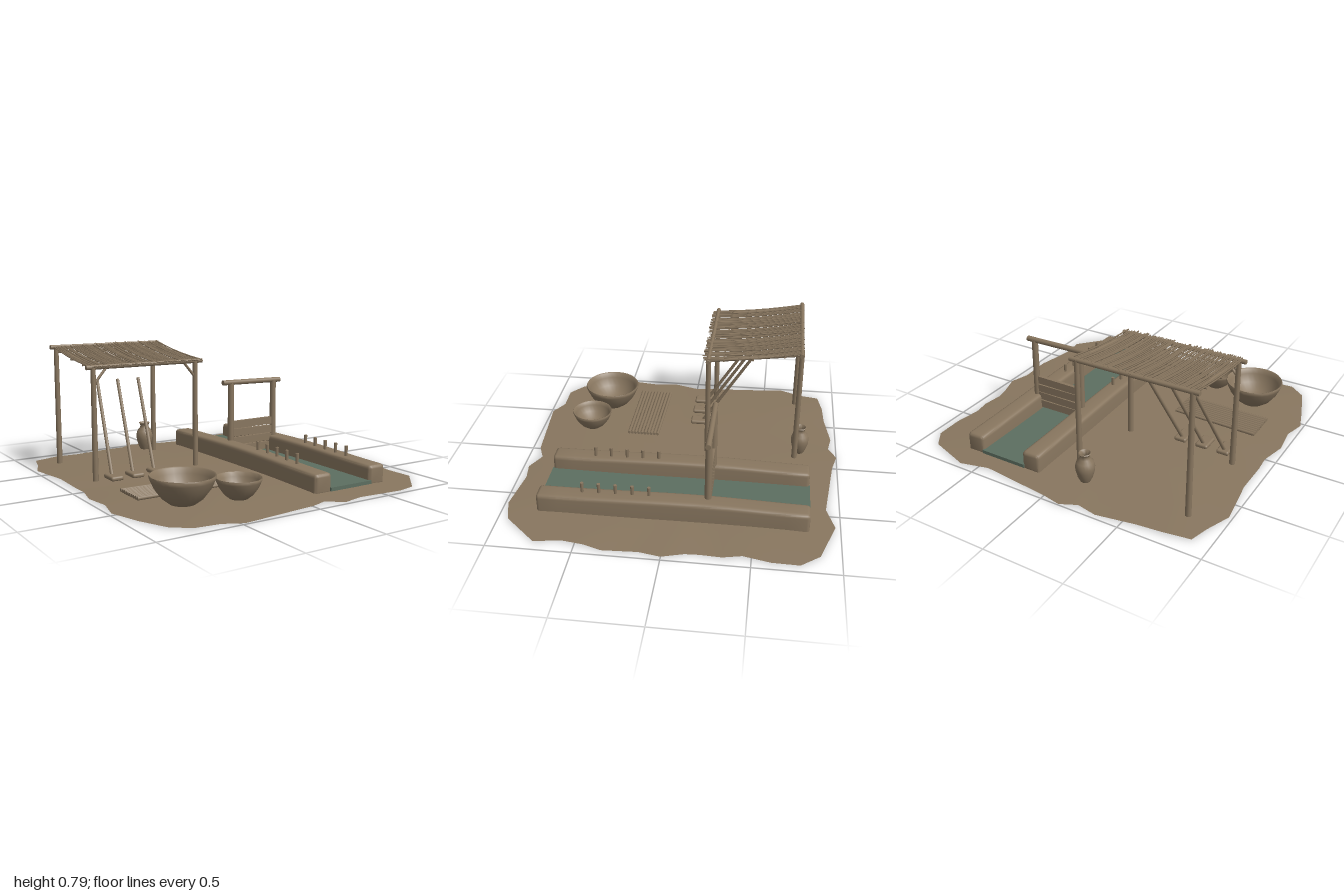
import * as THREE from 'three';
import { toCreasedNormals } from 'three/addons/utils/BufferGeometryUtils.js';
import { RoundedBoxGeometry } from 'three/addons/geometries/RoundedBoxGeometry.js';

const earth = new THREE.MeshStandardMaterial({ color: 0x88765f, side: THREE.DoubleSide });
earth.name = 'earth brown';
const waterGreen = new THREE.MeshStandardMaterial({ color: 0x5c6e60 });
waterGreen.name = 'water green';

const V = (x, y, z) => new THREE.Vector3(x, y, z);

let seed = 7;
const rand = () => (seed = (seed * 16807) % 2147483647) / 2147483647;

function add(parent, name, geometry, x = 0, y = 0, z = 0, material = earth) {
  const mesh = new THREE.Mesh(geometry, material);
  mesh.name = name;
  mesh.position.set(x, y, z);
  parent.add(mesh);
  return mesh;
}

// Round pole from a to b
function pole(parent, name, a, b, r, rEnd = r, sides = 10) {
  const mesh = add(parent, name, new THREE.CylinderGeometry(rEnd, r, a.distanceTo(b), sides));
  mesh.position.copy(a).lerp(b, 0.5);
  mesh.quaternion.setFromUnitVectors(V(0, 1, 0), b.clone().sub(a).normalize());
  return mesh;
}

function group(parent, name) {
  const g = new THREE.Group();
  g.name = name;
  parent.add(g);
  return g;
}

// Ragged, gently domed plot of soil: rings shrinking to a centre point
function makeGround(root) {
  const rim = [[-.89, -.89], [-.73, -.92], [-.58, -.93], [-.34, -.97], [-.22, -.95], [-.12, -1], [0, -.97],
    [.44, -.92], [.61, -.97], [.87, -.88], [.95, -.77], [.95, -.61], [.92, -.45], [.94, -.34], [.93, -.21],
    [.94, -.13], [.98, 0], [.95, .13], [.96, .34], [.93, .45], [.91, .58], [.93, .74], [.75, .94], [.61, .98],
    [.33, .95], [.21, .97], [.1, .91], [0, .95], [-.48, .99], [-.59, .93], [-.75, .93], [-.85, .85],
    [-.92, .66], [-.98, .47], [-.95, .33], [-.97, .16], [-.93, 0], [-.94, -.11], [-.94, -.33], [-.98, -.62],
    [-.92, -.77]];
  const n = rim.length, pos = [], index = [];
  const rings = [[1, 0.004], [0.78, 0.015], [0.4, 0.02], [0, 0.022]];
  rings.forEach(([s, y], r) => rim.forEach(([x, z], i) => {
    pos.push(x * s, r === 0 ? y + 0.004 * Math.sin(i * 1.7) : y, z * s);
    const j = (i + 1) % n, a = r * n;
    if (r < rings.length - 1) {
      index.push(a + i, a + n + i, a + j);
      if (r < rings.length - 2) index.push(a + j, a + n + i, a + n + j);
    }
  }));
  const geo = new THREE.BufferGeometry();
  geo.setAttribute('position', new THREE.Float32BufferAttribute(pos, 3));
  geo.setIndex(index);
  geo.computeVertexNormals();
  add(root, 'ground', geo);
}

// Earth bank with rounded section and a slightly uneven top
function bankGeometry() {
  const w = 0.06, h = 0.13, r = 0.025, s = new THREE.Shape();
  s.moveTo(-w, 0);
  s.lineTo(w, 0);
  s.lineTo(w, h - r);
  s.quadraticCurveTo(w, h, w - r, h);
  s.lineTo(-w + r, h);
  s.quadraticCurveTo(-w, h, -w, h - r);
  const geo = new THREE.ExtrudeGeometry(s, { depth: 1.57, steps: 14, curveSegments: 4,
    bevelThickness: 0.02, bevelSize: 0.02, bevelOffset: -0.02, bevelSegments: 3 });
  geo.translate(0, 0, -0.8);
  const p = geo.attributes.position;
  for (let i = 0; i < p.count; i++) {
    const z = p.getZ(i);
    p.setY(i, p.getY(i) * (1 + 0.06 * Math.cos(z * 3.6 + 0.2)));
    p.setX(i, p.getX(i) + 0.003 * Math.sin(z * 5));
  }
  return toCreasedNormals(geo, 0.7);
}

function makeCanal(root) {
  const canal = group(root, 'canal');
  add(canal, 'water', new THREE.BoxGeometry(0.31, 0.022, 1.62), 0.405, 0.024, -0.015, waterGreen);
  const bank = bankGeometry();
  for (const x of [0.2, 0.61]) add(canal, 'bank', bank, x, 0, 0);
  for (const x of [0.215, 0.6])
    for (let i = 0; i < 5; i++) {
      const z = 0.12 + i * 0.1;
      pole(canal, 'peg', V(x, 0.1, z), V(x, 0.19, z), 0.009, 0.011, 8);
    }

  // Sluice gate across the channel
  const gate = group(root, 'sluiceGate');
  for (const x of [0.235, 0.582]) pole(gate, 'gatePost', V(x, 0.01, -0.225), V(x, 0.52, -0.225), 0.021, 0.02, 12);
  pole(gate, 'gateBeam', V(0.172, 0.528, -0.225), V(0.635, 0.52, -0.225), 0.017, 0.017, 12);
  for (let i = 0; i < 4; i++) {
    const plank = add(gate, 'gatePlank', new THREE.BoxGeometry(0.345, 0.05, 0.022), 0.409, 0.072 + i * 0.056, -0.225);
    plank.rotation.z = (i % 2 ? 1 : -1) * 0.008;
  }
}

function makeShelter(root) {
  const shelter = group(root, 'shelter');
  const zF = -0.155, zB = -0.725;
  for (const x of [-0.785, -0.085]) {
    pole(shelter, 'frontPost', V(x, 0.01, zF), V(x, 0.7, zF), 0.018, 0.015);
    pole(shelter, 'backPost', V(x, 0.01, zB), V(x, 0.775, zB), 0.018, 0.015);
    pole(shelter, 'sideRail', V(x + 0.01, 0.69, zF), V(x + 0.01, 0.765, zB), 0.01);
    const inward = x < -0.4 ? 1 : -1;
    pole(shelter, 'brace', V(x + inward * 0.005, 0.6, zF), V(x + inward * 0.085, 0.695, zF), 0.008);
  }
  pole(shelter, 'frontBeam', V(-0.83, 0.7, zF), V(-0.035, 0.697, zF), 0.014);
  pole(shelter, 'backBeam', V(-0.825, 0.775, zB), V(-0.04, 0.77, zB), 0.014);

  // Sagging roof of thin reeds
  const roofY = z => 0.705 + 0.075 * (zF - z) / (zF - zB) - 0.012 * Math.sin(Math.PI * (zF - z) / (zF - zB));
  for (const z of [-0.25, -0.43, -0.62])
    pole(shelter, 'purlin', V(-0.81, roofY(z) - 0.007, z), V(-0.05, roofY(z) - 0.007, z), 0.006, 0.006, 6);
  const count = 62;
  for (let i = 0; i < count; i++) {
    const x = -0.802 + 0.748 * i / (count - 1);
    const z0 = -0.145 + 0.03 * rand(), z1 = -0.715 - 0.025 * rand(), lift = 0.006 * (rand() - 0.5);
    const skew = 0.008 * (rand() - 0.5);
    const pts = [0, 0.33, 0.67, 1].map(t => {
      const z = z0 + (z1 - z0) * t;
      return V(x + skew * (t - 0.5), roofY(z) + lift, z);
    });
    add(shelter, 'roofReed', new THREE.TubeGeometry(new THREE.CatmullRomCurve3(pts), 5, 0.0046, 5));
  }
}

// Long-handled hoes leaning against the shelter
function makeHoes(root) {
  for (const x of [-0.705, -0.565, -0.42]) {
    const hoe = group(root, 'hoe');
    pole(hoe, 'hoeHandle', V(x - 0.002, 0.04, -0.09), V(x + 0.062, 0.58, -0.415), 0.011, 0.01);
    add(hoe, 'hoeBlade', new RoundedBoxGeometry(0.08, 0.028, 0.12, 2, 0.012), x, 0.045, -0.073);
  }
}

// Row of cut poles lying on the ground
function makePoleStack(root) {
  const stack = group(root, 'poleStack');
  for (let i = 0; i < 10; i++) {
    const z = 0.185 + i * 0.0225;
    pole(stack, 'layingPole', V(-0.783, 0.032, z - 0.003), V(-0.222, 0.032, z + 0.012 - i * 0.001), 0.0115, 0.01, 8);
  }
}

// Open vessel turned from a wall profile
function vessel(parent, name, profile, x, z, sides = 28) {
  const geo = new THREE.LatheGeometry(profile.map(([r, y]) => new THREE.Vector2(r, y)), sides);
  add(parent, name, toCreasedNormals(geo, 0.9), x, 0.025, z);
}

function makeVessels(root) {
  const bowl = (r, h) => [[0, 0], [r * 0.4, 0], [r * 0.63, h * 0.2], [r * 0.84, h * 0.52], [r * 0.96, h * 0.82],
    [r, h * 0.95], [r * 0.98, h], [r * 0.93, h * 0.97], [r * 0.87, h * 0.78], [r * 0.73, h * 0.46],
    [r * 0.5, h * 0.22], [r * 0.25, h * 0.13], [0, h * 0.11]];
  vessel(root, 'largeBowl', bowl(0.185, 0.16), -0.605, 0.575);
  vessel(root, 'smallBowl', bowl(0.132, 0.12), -0.295, 0.655);
  vessel(root, 'waterJar', [[0, 0], [0.03, 0], [0.044, 0.03], [0.055, 0.07], [0.058, 0.1], [0.05, 0.13],
    [0.033, 0.15], [0.028, 0.165], [0.033, 0.18], [0.038, 0.185], [0.034, 0.189], [0.024, 0.178], [0.02, 0.16],
    [0.028, 0.14], [0.04, 0.11], [0.03, 0.04], [0, 0.02]], -0.14, -0.755, 20);
}

export function createModel() {
  const root = new THREE.Group();
  root.name = 'irrigationCamp';
  makeGround(root);
  makeCanal(root);
  makeShelter(root);
  makeHoes(root);
  makePoleStack(root);
  makeVessels(root);
  return root;
}
